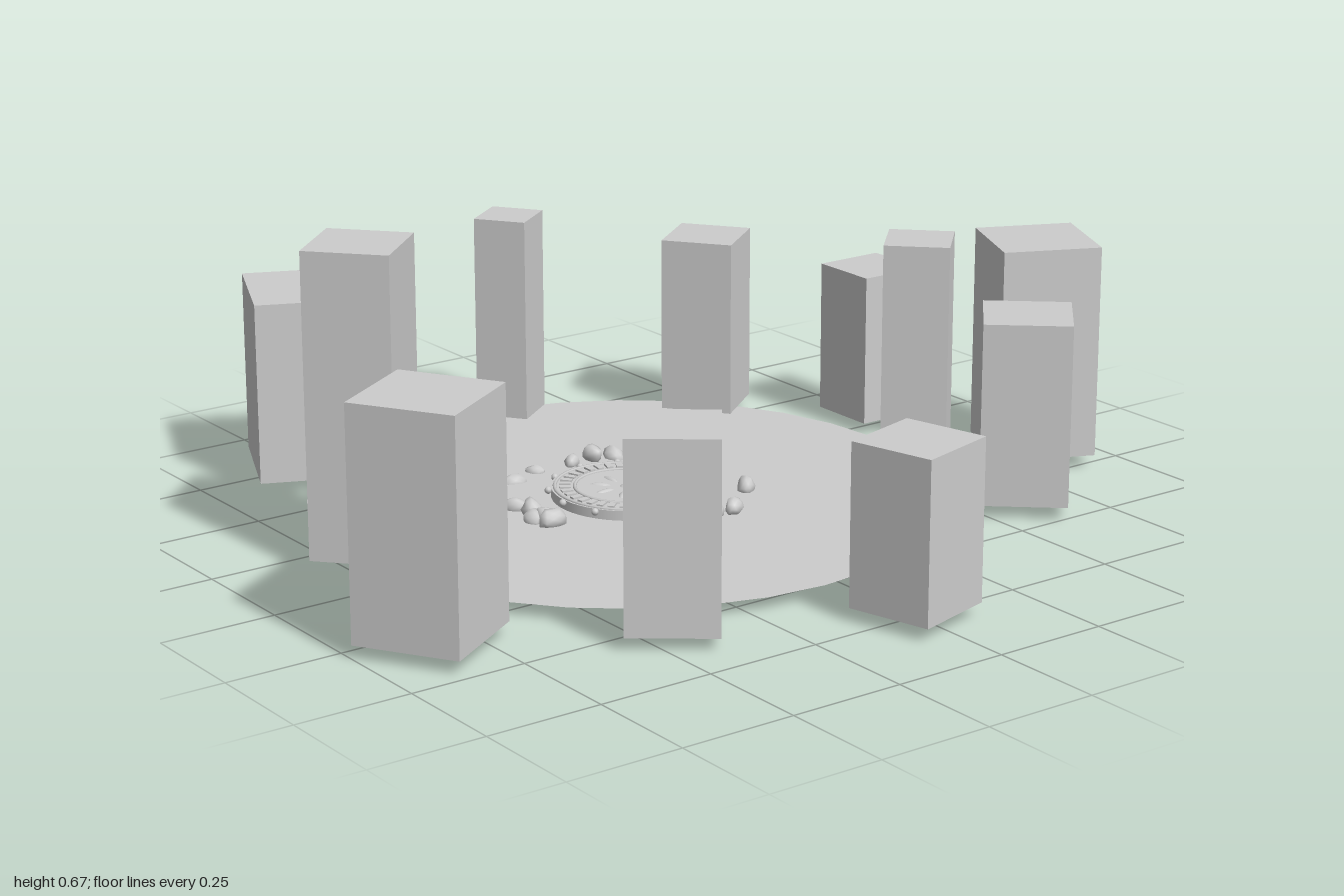
import * as THREE from 'three';
import { mergeVertices } from 'three/addons/utils/BufferGeometryUtils.js';

const GROUND = 0.033;
const CENTRE = [-0.078, -0.11];

// Pillars: x, z, side, top height, turn about y
const PILLARS = [
  [-0.49, -0.705, 0.264, 0.43, -0.418],
  [0.062, -0.76, 0.12, 0.493, 0.63],
  [0.46, -0.548, 0.163, 0.43, 0.65],
  [0.723, -0.275, 0.16, 0.373, 0],
  [0.853, 0.136, 0.219, 0.505, -0.43],
  [0.61, 0.377, 0.187, 0.43, -0.715],
  [0.264, 0.428, 0.133, 0.657, -0.78],
  [-0.008, 0.757, 0.185, 0.373, 0.265],
  [-0.437, 0.546, 0.185, 0.43, -0.645],
  [-0.845, 0.324, 0.225, 0.513, 0.56],
  [-0.698, -0.153, 0.182, 0.678, -0.835],
];

// Loose rocks: x, z, radius
const ROCKS = [
  [-0.22, -0.33, 0.028], [-0.145, -0.355, 0.02], [-0.053, -0.35, 0.022],
  [0, -0.347, 0.024], [0.05, -0.338, 0.028], [0.128, -0.262, 0.029],
  [0.15, -0.198, 0.027], [0.138, -0.153, 0.022], [0.166, -0.144, 0.019],
  [0.15, 0.01, 0.025], [0.04, 0.112, 0.025], [-0.008, 0.103, 0.026],
  [-0.028, 0.118, 0.021], [-0.085, 0.136, 0.026], [-0.128, 0.118, 0.027],
  [-0.158, 0.125, 0.022], [-0.214, 0.118, 0.023], [-0.308, -0.05, 0.03],
  [-0.328, -0.096, 0.025], [-0.31, -0.078, 0.022], [-0.305, -0.134, 0.027],
  [-0.316, -0.18, 0.025],
];

function seeded(seed) {
  let s = seed;
  return () => ((s = (s * 16807) % 2147483647) / 2147483647);
}

// Smooth boulder with a lumpy outline
function rockGeometry(rand) {
  let g = new THREE.IcosahedronGeometry(1, 1);
  g.deleteAttribute('normal');
  g.deleteAttribute('uv');
  g = mergeVertices(g, 1e-3);
  const p = g.attributes.position;
  for (let i = 0; i < p.count; i++) {
    const k = 0.82 + rand() * 0.3;
    p.setXYZ(i, p.getX(i) * k, p.getY(i) * k, p.getZ(i) * k);
  }
  g.computeVertexNormals();
  return g;
}

export function createModel() {
  const model = new THREE.Group();
  const stone = new THREE.MeshStandardMaterial({ color: 0xcccccc });
  stone.name = 'grey stone';
  const floorStone = stone.clone();
  floorStone.side = THREE.DoubleSide;
  floorStone.name = 'grey stone floor';
  const rand = seeded(4711);

  const add = (parent, name, geometry, x, y, z, material = stone) => {
    const mesh = new THREE.Mesh(geometry, material);
    mesh.name = name;
    mesh.position.set(x, y, z);
    parent.add(mesh);
    return mesh;
  };

  // Flat round floor
  const floor = add(model, 'floor', new THREE.CircleGeometry(0.676, 32), CENTRE[0], GROUND, CENTRE[1], floorStone);
  floor.rotation.x = -Math.PI / 2;

  // Ring of standing pillars
  const pillars = new THREE.Group();
  pillars.name = 'pillars';
  model.add(pillars);
  for (const [x, z, side, top, turn] of PILLARS) {
    const h = top - GROUND;
    add(pillars, 'pillar', new THREE.BoxGeometry(side, h, side), x, GROUND + h / 2, z).rotation.y = turn;
  }

  // Scattered rocks around the centre
  const rocks = new THREE.Group();
  rocks.name = 'rocks';
  model.add(rocks);
  ROCKS.forEach(([x, z, r], i) => {
    const y = i === 0 ? 0.027 : 0.03 + rand() * 0.022;
    const rock = add(rocks, 'rock', rockGeometry(rand), x, y, z);
    rock.scale.set(r * 1.15, r * 0.85, r * 0.78);
    rock.rotation.y = rand() * Math.PI * 2;
  });

  // Low carved stone dais in the middle
  const dais = new THREE.Group();
  dais.name = 'dais';
  dais.position.set(CENTRE[0], 0, CENTRE[1]);
  dais.scale.z = 1.05;
  model.add(dais);
  add(dais, 'daisBase', new THREE.CylinderGeometry(0.158, 0.158, 0.026, 48), 0, 0.041, 0);

  // Raised rims on the upper and lower face
  for (const y of [0.054, 0.029]) {
    for (const r of [0.15, 0.108]) {
      const rim = add(dais, 'rim', new THREE.TorusGeometry(r, 0.004, 6, 48), 0, y, 0);
      rim.rotation.x = Math.PI / 2;
    }
  }

  // Notched blocks and studs repeated around the rim
  const ringOf = (name, count, radius, y, geometry) => {
    for (let i = 0; i < count; i++) {
      const a = (i / count) * Math.PI * 2;
      add(dais, name, geometry, Math.cos(a) * radius, y, Math.sin(a) * radius).rotation.y = -a;
    }
  };
  ringOf('rimBlock', 36, 0.129, 0.041, new THREE.BoxGeometry(0.024, 0.034, 0.013));
  ringOf('rimStud', 12, 0.164, 0.05, new THREE.SphereGeometry(0.008, 8, 6));

  // Rosette carved on both faces
  ringOf('petal', 8, 0.055, 0.041, new THREE.SphereGeometry(1, 12, 8).scale(0.036, 0.017, 0.012));
  add(dais, 'boss', new THREE.SphereGeometry(1, 16, 8).scale(0.02, 0.018, 0.02), 0, 0.041, 0);

  return model;
}
